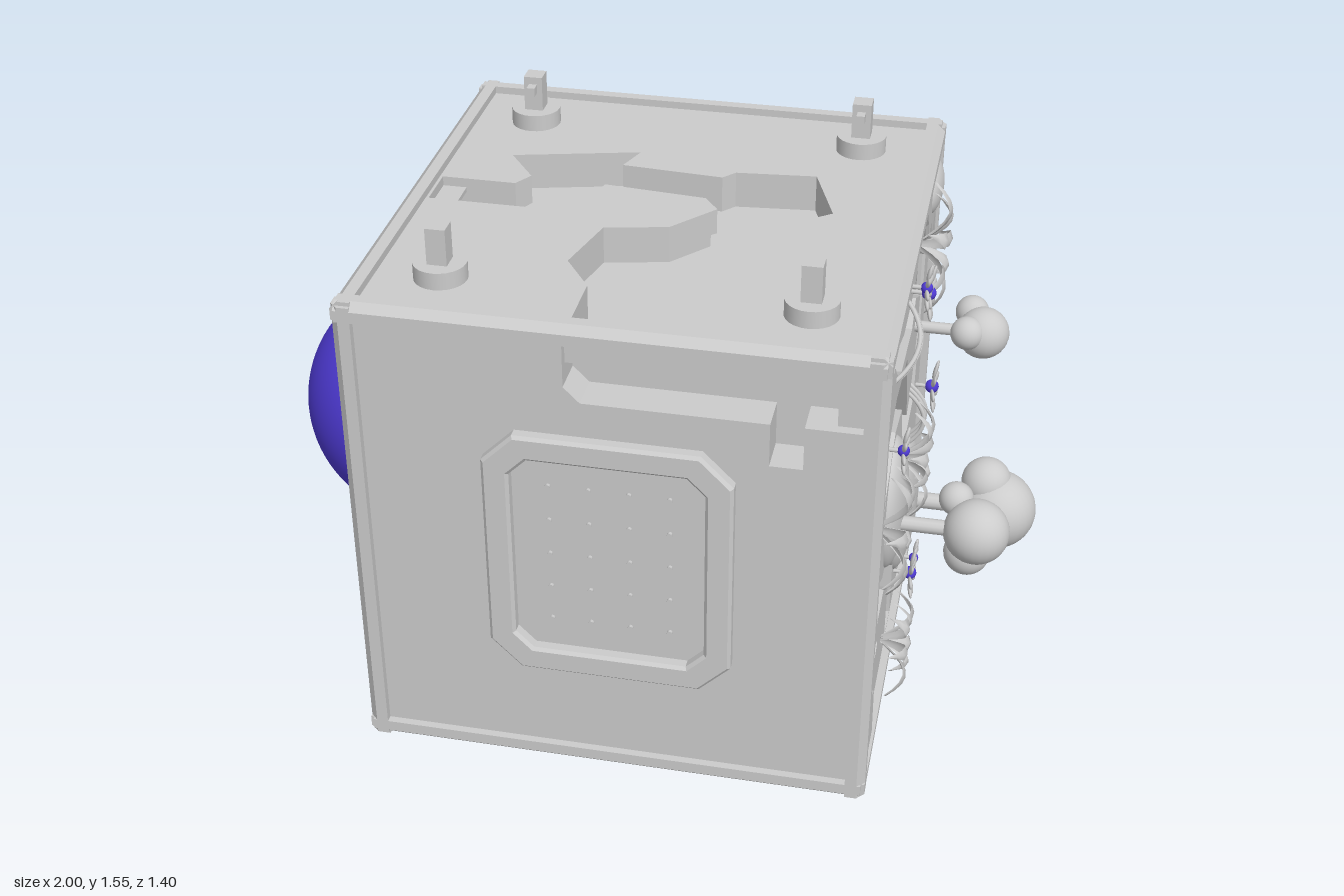
import * as THREE from 'three';

const C = new THREE.Vector3(-0.015, 0.785, 0.03); // cube centre
const H = 0.6575;   // outer half size
const S = 0.6375;   // panel surface distance from the centre
const DEPTH = 0.1;  // channel depth
const grey = new THREE.MeshStandardMaterial({ color: 0xcccccc });
const thin = new THREE.MeshStandardMaterial({ color: 0xcccccc, side: THREE.DoubleSide });
const blue = new THREE.MeshStandardMaterial({ color: 0x4f3bd6 });

function add(parent, name, geo, x = 0, y = 0, z = 0, mat = grey) {
  const m = new THREE.Mesh(geo, mat);
  m.name = name;
  m.position.set(x, y, z);
  parent.add(m);
  return m;
}
const shapeOf = pts => new THREE.Shape(pts.map(p => new THREE.Vector2(p[0], p[1])));
const extrude = (shape, depth, bevel = 0) => new THREE.ExtrudeGeometry(shape, {
  depth, bevelEnabled: bevel > 0, bevelSize: bevel, bevelThickness: bevel, bevelSegments: 1, curveSegments: 8 });
const octagon = (a, b, c) => [[-a, -b + c], [-a + c, -b], [a - c, -b], [a, -b + c],
  [a, b - c], [a - c, b], [-a + c, b], [-a, b - c]];
// cylinder standing on local +z, from height w0 to w1
function peg(parent, name, r, u, v, w0, w1, sides = 24, mat = grey) {
  const m = add(parent, name, new THREE.CylinderGeometry(r, r, w1 - w0, sides), u, v, (w0 + w1) / 2, mat);
  m.rotation.x = Math.PI / 2;
  return m;
}

// Each face is a group with local +z pointing outward; map turns frame positions into face positions.
const FACES = {
  front: { rot: [0, 0, 0], map: (x, y) => [x - C.x, y - C.y] },
  back: { rot: [0, Math.PI, 0], map: (x, y) => [C.x - x, y - C.y] },
  right: { rot: [0, Math.PI / 2, 0], map: (z, y) => [C.z - z, y - C.y] },
  left: { rot: [0, -Math.PI / 2, 0], map: (z, y) => [z - C.z, y - C.y] },
  top: { rot: [-Math.PI / 2, 0, 0], map: (x, z) => [x - C.x, C.z - z] },
  bottom: { rot: [Math.PI / 2, 0, 0], map: (x, z) => [x - C.x, z - C.z] },
};
// Channel outlines cut into the panels
const CUTS = {
  front: [[-.12, 1.385], [-.12, 1.27], [-.08, 1.23], [.37, 1.23], [.37, 1.115], [.45, 1.115], [.45, 1.23],
    [.585, 1.23], [.585, 1.345], [.02, 1.345], [.02, 1.385]],
  back: [[.08, .185], [.08, .45], [.3, .45], [.465, .6], [.465, 1.05], [.34, 1.15], [.09, 1.15], [.09, 1.37],
    [-.12, 1.37], [-.12, 1.15], [-.34, 1.15], [-.48, 1.05], [-.48, .6], [-.33, .45], [-.065, .45], [-.065, .185]],
  right: [[.63, 1.355], [.355, 1.35], [.265, 1.235], [.13, 1.19], [-.14, 1.185], [-.22, 1.25], [-.47, 1.19],
    [-.46, 1], [-.39, .68], [-.11, .68], [.025, .9], [.19, .935], [.36, .85], [.415, .68], [.385, .6], [.305, .555],
    [.09, .54], [-.035, .39], [-.035, .185], [.09, .185], [.09, .365], [.225, .46], [.425, .45], [.5, .63], [.55, .74],
    [.445, 1], [.23, 1.06], [-.04, 1.015], [-.17, .76], [-.255, .79], [-.35, .92], [-.36, 1.03], [-.2, 1.11],
    [-.14, 1.05], [.13, 1.08], [.25, 1.14], [.345, 1.22], [.63, 1.225]],
  left: [[-.04, 1.385], [-.04, .9], [.085, .9], [.085, 1.385]],
  top: [[-.615, -.04], [-.42, -.04], [-.39, -.09], [-.47, -.2], [-.14, -.285], [-.17, -.2], [.1, -.18], [.13, -.215],
    [.34, -.235], [.41, -.035], [.25, .09], [.2, .08], [.13, .14], [.16, .33], [.02, .5], [.02, .63], [-.11, .63],
    [-.11, .45], [-.185, .34], [-.14, .155], [.02, .12], [.12, 0], [.08, -.055], [-.19, -.08], [-.23, .04],
    [-.31, -.02], [-.36, .085], [-.615, .085]],
  bottom: [[.585, -.08], [.38, -.08], [.24, -.2], [.08, -.27], [.08, -.57], [-.065, -.57], [-.065, -.27], [-.28, -.15],
    [-.36, .03], [-.33, .18], [-.09, .36], [.08, .37], [.23, .27], [.36, .03], [.585, .03]],
};

function makePanel(name) {
  const g = new THREE.Group(), { rot, map } = FACES[name];
  g.name = name + 'Side';
  g.rotation.set(...rot);
  const plate = shapeOf([[-.612, -.612], [.612, -.612], [.612, .612], [-.612, .612]]);
  plate.holes.push(shapeOf(CUTS[name].map(p => map(...p))));
  add(g, name + 'Panel', extrude(plate, DEPTH), 0, 0, S - DEPTH);
  return g;
}

function makeFrame() {
  const g = new THREE.Group(), i = H - 0.05, c = H - 0.02;
  g.name = 'edgeFrame';
  const geo = extrude(shapeOf([[i, i], [H, i], [H, c], [c, H], [i, H]]), 2 * H - 0.02).translate(0, 0, 0.01 - H);
  for (const rot of [[0, 0], [Math.PI / 2, 0], [0, Math.PI / 2]]) {
    const axis = new THREE.Group();
    axis.rotation.set(rot[0], rot[1], 0);
    for (let k = 0; k < 4; k++) add(axis, 'edgeBar', geo).rotation.z = k * Math.PI / 2;
    g.add(axis);
  }
  return g;
}

// Four locking posts on the top or bottom
function addPosts(face) {
  for (const u of [-.447, .447]) for (const v of [-.45, .45]) {
    peg(face, 'postCollar', .066, u, v, S - .01, .682);
    add(face, 'lockPost', new THREE.BoxGeometry(.05, .05, .13), u, v, .712);
    add(face, 'lockPin', new THREE.BoxGeometry(.022, .03, .024), u, v - Math.sign(v) * .038, .745);
  }
}

function addFlower(face, u, v, r, w, petals = 8) {
  const g = new THREE.Group();
  g.name = 'flower';
  g.position.set(u, v, w);
  peg(g, 'flowerStem', .006, 0, 0, -.06, 0, 8);
  const petal = new THREE.SphereGeometry(1, 12, 8).scale(r * .34, r * .17, .006).translate(r * .64, 0, 0);
  for (let k = 0; k < petals; k++) {
    const m = add(g, 'petal', petal);
    m.rotation.set(0, -.2, 0);
    m.rotation.order = 'ZYX';
    m.rotation.z = k * 2 * Math.PI / petals;
  }
  add(g, 'flowerCentre', new THREE.SphereGeometry(r * .24, 16, 12), 0, 0, .004, petals === 8 ? blue : grey);
  face.add(g);
}

// Rosette of arching, folded leaves
function addPlant(face, u, v, r, turn) {
  const g = new THREE.Group();
  g.name = 'leafyPlant';
  g.position.set(u, v, S - .005);
  for (let k = 0; k < 7; k++) {
    const len = r * (.85 + .2 * Math.sin(k * 2.4 + turn * 5));
    const geo = new THREE.PlaneGeometry(1, 1, 2, 8), p = geo.attributes.position;
    for (let i = 0; i < p.count; i++) {
      const side = p.getX(i) * 2, t = p.getY(i) + .5;
      const half = .021 * Math.min(.25 + t * 1.3, (1 - t) * 2.8);
      p.setXYZ(i, side * half, t * len, .085 * Math.sin(Math.PI * t * .85) - .008 * Math.abs(side));
    }
    geo.computeVertexNormals();
    add(g, 'leaf', geo, 0, 0, 0, thin).rotation.z = turn + k * 2 * Math.PI / 7 + .15 * Math.sin(k * 3);
  }
  face.add(g);
}

// Tree growing outward; blobs are [x, y, z, radius], the first one is on the trunk
function addTree(face, trunk, blobs) {
  const g = new THREE.Group(), map = FACES.right.map;
  g.name = 'tree';
  peg(g, 'trunk', trunk, ...map(blobs[0][2], blobs[0][1]), S - .1, blobs[0][0] - C.x, 12);
  for (const [x, y, z, r] of blobs)
    add(g, 'treeCrown', new THREE.SphereGeometry(r, 28, 20), ...map(z, y), x - C.x);
  face.add(g);
}

function buildGarden(face) {
  const map = FACES.right.map;
  addTree(face, .024, [[.885, .325, -.4, .115], [.85, .41, -.41, .072], [.835, .255, -.335, .064]]);
  addTree(face, .02, [[.85, .7, .25, .085], [.83, .63, .245, .06], [.79, .75, .185, .045]]);
  addTree(face, .016, [[.805, 1, -.245, .07], [.765, 1.02, -.2, .045], [.77, 1.03, -.3, .045]]);
  for (const [z, y, r, t] of [[.535, .88, .19, .3], [-.165, 1.29, .2, .9], [-.1, .67, .165, .1], [.21, .28, .15, .5]])
    addPlant(face, ...map(z, y), r, t);
  for (const [z, y, r] of [[.115, 1.32, .063], [.015, 1.25, .078], [.525, 1.105, .062], [-.455, .685, .082],
    [-.095, .285, .077], [-.215, .25, .058]]) addFlower(face, ...map(z, y), r, .68);
  // soft hills: z, y, half sizes
  for (const [z, y, a, b, h] of [[.19, .72, .14, .19, .05], [-.2, .46, .2, .2, .05], [-.47, 1.31, .12, .07, .04]])
    add(face, 'hill', new THREE.SphereGeometry(1, 32, 16).scale(a, b, h), ...map(z, y), S - .005);
  // rock slabs
  const rocks = [
    [[-.2, 1.38], [-.3, 1.28], [-.36, 1.17], [-.4, 1.25], [-.46, 1.27], [-.52, 1.22], [-.57, 1.09], [-.575, 1.38]],
    [[.63, .52], [.6, .48], [.57, .38], [.49, .33], [.47, .18], [.63, .18]],
    [[.54, .61], [.5, .63], [.43, .56], [.4, .47], [.47, .43], [.57, .45], [.58, .5]],
    [[-.41, 1.16], [-.48, 1.19], [-.505, 1.05], [-.47, 1.01], [-.41, 1.02]],
    [[.42, .37], [.36, .385], [.35, .33], [.4, .28], [.43, .3]]];
  rocks.forEach((r, k) => add(face, 'rockSlab',
    extrude(shapeOf(r.map(p => map(...p))), k < 2 ? .02 : .01, .008), 0, 0, S - .015));
  // arched bridge rails
  for (const [z0, y0, z1, y1] of [[.29, 1.14, .125, 1.3], [.24, 1.11, .08, 1.27],
    [-.21, .63, -.215, .81], [-.238, .63, -.238, .81], [-.265, .63, -.26, .81]]) {
    const a = map(z0, y0), b = map(z1, y1);
    const arc = new THREE.QuadraticBezierCurve3(new THREE.Vector3(...a, S - .01),
      new THREE.Vector3((a[0] + b[0]) / 2, (a[1] + b[1]) / 2, S + .1), new THREE.Vector3(...b, S - .01));
    add(face, 'bridgeRail', new THREE.TubeGeometry(arc, 16, .006, 8));
  }
}

export function createModel() {
  const model = new THREE.Group(), cube = new THREE.Group();
  model.name = 'puzzleCube';
  cube.name = 'cubeBody';
  cube.position.copy(C);
  model.add(cube);
  const core = 2 * (S - DEPTH) + .002;
  add(cube, 'innerCore', new THREE.BoxGeometry(core, core, core));
  cube.add(makeFrame());
  const side = {};
  for (const name in FACES) cube.add(side[name] = makePanel(name));

  addPosts(side.top);
  addPosts(side.bottom);

  // front screen with a grid of pins
  const bezel = shapeOf(octagon(.3, .343, .075));
  bezel.holes.push(shapeOf(octagon(.248, .292, .05)));
  add(side.front, 'screenBezel', extrude(bezel, .026, .008), 0, 0, S - .002);
  for (let i = 0; i < 4; i++) for (let j = 0; j < 5; j++)
    peg(side.front, 'screenPin', .007, -.15 + i * .1, -.2 + j * .1, S - .01, S + .008, 8);

  // back posts and small flower knob
  for (const x of [-.325, .29]) for (const y of [.545, .908])
    peg(side.back, 'backPost', .036, ...FACES.back.map(x, y), S - DEPTH, .73, 12);
  addFlower(side.back, ...FACES.back.map(-.01, 1.1), .055, .665, 5);
  peg(side.back, 'flowerKnobStem', .018, ...FACES.back.map(-.01, 1.1), S - DEPTH, .665, 12);

  // left dome with flange, ears and corner plates
  peg(side.left, 'domeFlange', .363, 0, 0, S - .02, .715, 64);
  add(side.left, 'dome', new THREE.SphereGeometry(.335, 64, 24, 0, Math.PI * 2, 0, Math.PI / 2), 0, 0, .65, blue)
    .rotation.x = Math.PI / 2;
  for (const s of [-1, 1]) {
    peg(side.left, 'flangeEar', .06, s * .42, 0, S - .01, .69);
    add(side.left, 'earBridge', new THREE.BoxGeometry(.1, .12, .06), s * .37, 0, .66);
    peg(side.left, 'earScrew', .027, s * .43, 0, .68, .703, 6);
    for (const t of [-1, 1]) {
      const tri = [[s * .585, t * .585], [s * .36, t * .585], [s * .585, t * .36]];
      add(side.left, 'cornerPlate', extrude(shapeOf(tri), .028, .004), 0, 0, S - .002);
    }
  }

  buildGarden(side.right);
  return model;
}
